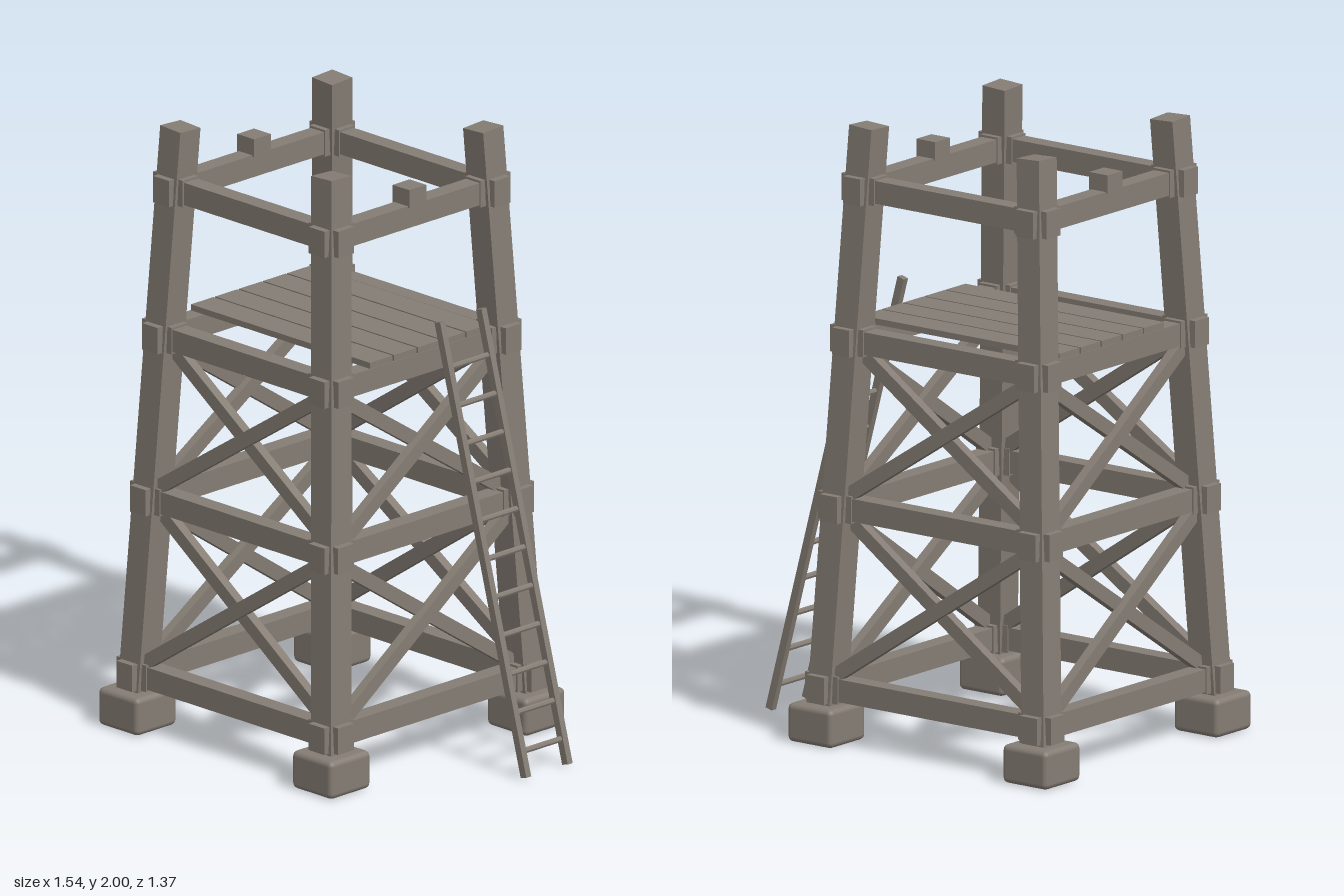
import * as THREE from 'three';
import { RoundedBoxGeometry } from 'three/addons/geometries/RoundedBoxGeometry.js';

const wood = new THREE.MeshStandardMaterial({ color: 0x857d74, flatShading: true });
const stone = new THREE.MeshStandardMaterial({ color: 0x857d74 });

// Half distance between post centres at height y (the tower tapers upwards)
const half = (y) => 0.438 - 0.0505 * y;
const V = (x, y, z) => new THREE.Vector3(x, y, z);

function box(parent, name, w, h, d, x, y, z) {
  const mesh = new THREE.Mesh(new THREE.BoxGeometry(w, h, d), wood);
  mesh.name = name;
  mesh.position.set(x, y, z);
  parent.add(mesh);
  return mesh;
}

// Straight timber from a to b; w lies across, d along the depth axis
function timber(parent, name, a, b, w, d, depthAxis = V(0, 0, 1)) {
  const dir = b.clone().sub(a);
  const mid = a.clone().add(b).multiplyScalar(0.5);
  const mesh = box(parent, name, w, dir.length(), d, mid.x, mid.y, mid.z);
  const yAxis = dir.normalize();
  const xAxis = yAxis.clone().cross(depthAxis).normalize();
  const zAxis = xAxis.clone().cross(yAxis);
  mesh.quaternion.setFromRotationMatrix(new THREE.Matrix4().makeBasis(xAxis, yAxis, zAxis));
  return mesh;
}

export function createModel() {
  const group = new THREE.Group();
  const tower = new THREE.Group();
  tower.name = 'tower';
  tower.position.x = -0.082;
  tower.rotation.y = THREE.MathUtils.degToRad(-24);
  group.add(tower);

  const levels = [0.18, 0.765, 1.305, 1.795];

  // Corner posts, footings and the crossed joint blocks at each level
  for (const sx of [-1, 1]) {
    for (const sz of [-1, 1]) {
      const at = (y) => V(sx * half(y), y, sz * half(y));
      const foot = new THREE.Mesh(new RoundedBoxGeometry(0.18, 0.125, 0.18, 2, 0.018), stone);
      foot.name = 'footing';
      foot.position.set(sx * 0.433, 0.0665, sz * 0.433);
      tower.add(foot);
      timber(tower, 'post', at(0.1), at(1.996), 0.09, 0.09);
      for (const y of levels) {
        const p = at(y);
        box(tower, 'jointBlock', 0.132, 0.088, 0.07, p.x, y, p.z);
        box(tower, 'jointBlock', 0.07, 0.088, 0.132, p.x, y, p.z);
      }
    }
  }

  // Four identical sides: horizontal beams and crossed braces
  for (let i = 0; i < 4; i++) {
    const side = new THREE.Group();
    side.name = 'side';
    side.rotation.y = (i * Math.PI) / 2;
    tower.add(side);
    for (const y of levels) {
      box(side, 'beam', 2 * half(y), 0.074, 0.06, 0, y, half(y));
    }
    for (let k = 0; k < 2; k++) {
      const lo = levels[k] + 0.03, hi = levels[k + 1] - 0.03;
      for (const s of [-1, 1]) {
        const a = V(-s * (half(lo) - 0.02), lo, half(lo) + s * 0.012);
        const b = V(s * (half(hi) - 0.02), hi, half(hi) + s * 0.012);
        timber(side, 'brace', a, b, 0.045, 0.032);
      }
    }
  }

  // Platform planks, leaving an opening along the front
  for (let i = 0; i < 5; i++) {
    box(tower, 'plank', 0.8, 0.02, 0.1, 0, 1.352, -0.25 + i * 0.107);
  }

  // Small blocks on the two side rails
  for (const s of [-1, 1]) {
    box(tower, 'railBlock', 0.075, 0.06, 0.075, s * half(1.8), 1.857, 0);
  }

  // Leaning ladder
  const ladder = new THREE.Group();
  ladder.name = 'ladder';
  ladder.position.z = -0.15;
  tower.add(ladder);
  const bottom = V(0.809, 0.012, 0), top = V(0.424, 1.435, 0);
  for (const s of [-1, 1]) {
    const off = V(0, 0, s * 0.092);
    timber(ladder, 'ladderRail', bottom.clone().add(off), top.clone().add(off), 0.026, 0.022);
  }
  for (let i = 0; i < 11; i++) {
    const p = bottom.clone().lerp(top, (0.08 + i * 0.12) / 1.423);
    const rung = new THREE.Mesh(new THREE.CylinderGeometry(0.01, 0.01, 0.184, 8), wood);
    rung.name = 'rung';
    rung.rotation.x = Math.PI / 2;
    rung.position.copy(p);
    ladder.add(rung);
  }
  return group;
}
